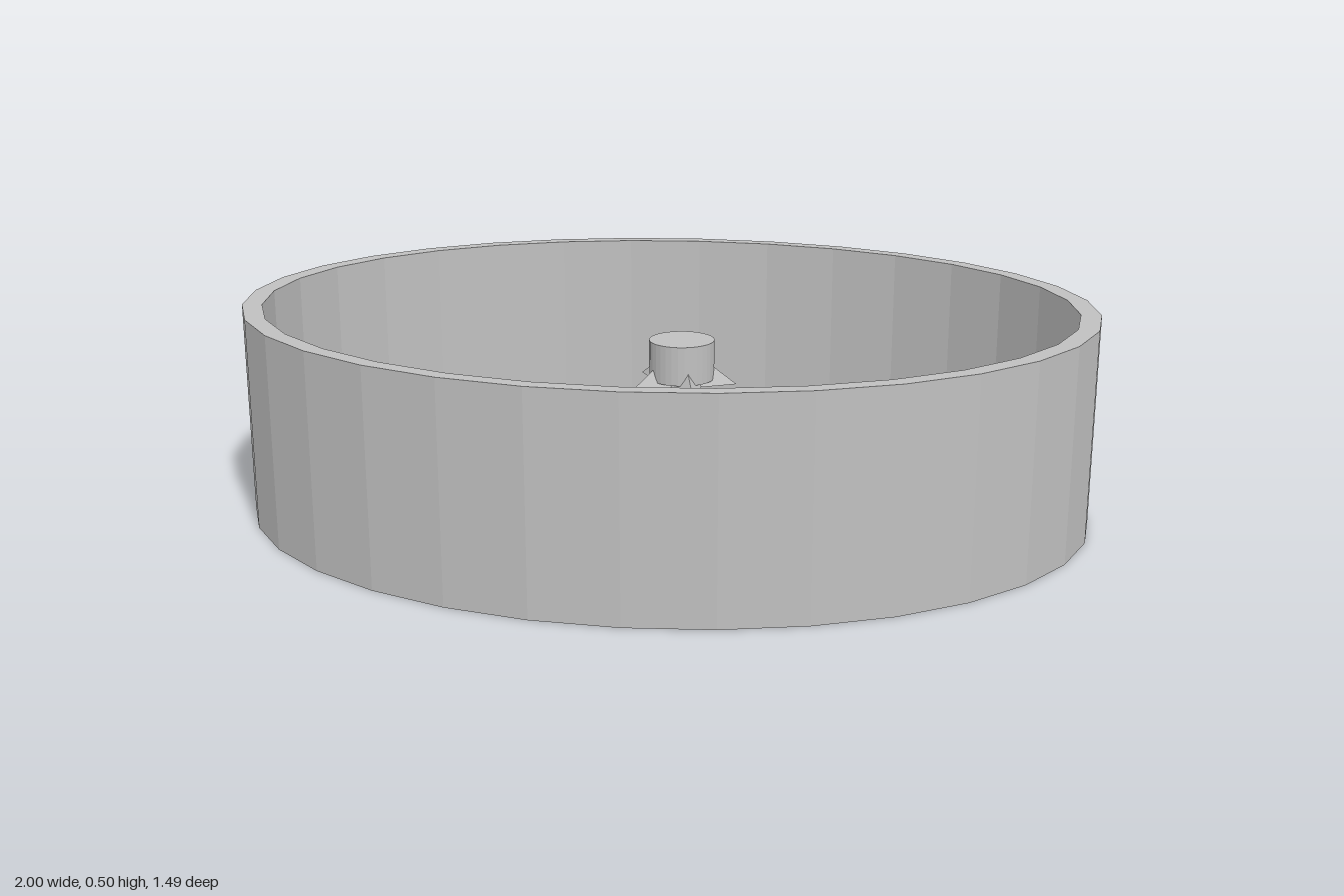
import * as THREE from 'three';

const SIDES = 32;

// Corners of a regular polygon stretched into an ellipse
function ellipsePoints(rx, rz) {
  return Array.from({ length: SIDES }, (_, i) => {
    const a = (i / SIDES) * Math.PI * 2;
    return new THREE.Vector2(Math.cos(a) * rx, Math.sin(a) * rz);
  });
}

// Upright hollow band with flat rims, standing on y = 0
function bandGeometry(rx, rz, innerRx, innerRz, height) {
  const shape = new THREE.Shape(ellipsePoints(rx, rz));
  shape.holes.push(new THREE.Path(ellipsePoints(innerRx, innerRz)));
  const geo = new THREE.ExtrudeGeometry(shape, { depth: height, bevelEnabled: false });
  return geo.rotateX(-Math.PI / 2);
}

// Five-pointed star rising to a central apex, with a flat underside
function starGeometry(outer, inner, height) {
  const rim = Array.from({ length: 10 }, (_, i) => {
    const a = (i / 10) * Math.PI * 2;
    const r = i % 2 ? inner : outer;
    return [Math.cos(a) * r, 0, -Math.sin(a) * r];
  });
  const pos = [];
  rim.forEach((p, i) => {
    const q = rim[(i + 1) % rim.length];
    pos.push(...p, ...q, 0, height, 0); // sloping face
    pos.push(...q, ...p, 0, 0, 0); // underside
  });
  const geo = new THREE.BufferGeometry();
  geo.setAttribute('position', new THREE.Float32BufferAttribute(pos, 3));
  geo.computeVertexNormals();
  return geo;
}

export function createModel() {
  const model = new THREE.Group();
  model.name = 'ovalEnclosure';
  const grey = new THREE.MeshStandardMaterial({ color: 0xc0c0c0, flatShading: true });
  grey.name = 'plain grey';

  const add = (name, geo, x, y, z) => {
    const mesh = new THREE.Mesh(geo, grey);
    mesh.name = name;
    mesh.position.set(x, y, z);
    model.add(mesh);
  };

  // Oval outer wall
  add('ovalWall', bandGeometry(1, 0.747, 0.953, 0.712, 0.5), 0, 0, 0);

  // Small thin ring floating at the centre
  add('centreRing', bandGeometry(0.055, 0.055, 0.045, 0.045, 0.008), 0, 0.246, 0);

  // Round post with a spiked star at its foot
  add('post', new THREE.CylinderGeometry(0.083, 0.083, 0.1, SIDES), 0, 0.28, -0.307);
  add('starFoot', starGeometry(0.14, 0.067, 0.105), 0, 0.217, -0.307);

  return model;
}
